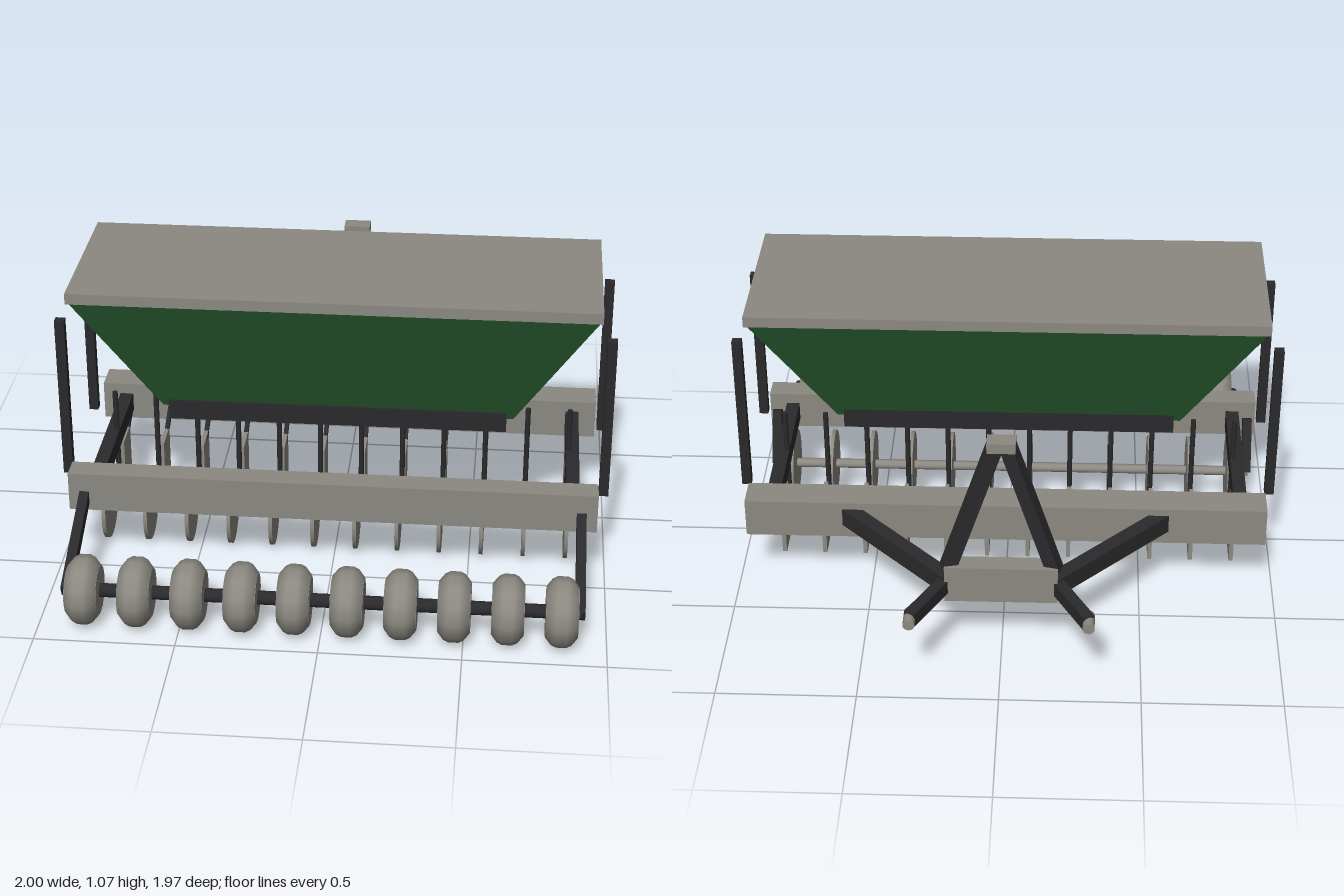
import * as THREE from 'three';

const mat = (name, color) => {
  const m = new THREE.MeshStandardMaterial({ color });
  m.name = name;
  return m;
};

export function createModel() {
  const root = new THREE.Group();
  root.name = 'seedDrill';
  const steel = mat('greySteel', 0x8b8981);
  const dark = mat('darkFrame', 0x2a2a2c);
  const green = mat('greenHopper', 0x2a5c30);

  const add = (name, geo, material, x = 0, y = 0, z = 0) => {
    const m = new THREE.Mesh(geo, material);
    m.name = name;
    m.position.set(x, y, z);
    root.add(m);
    return m;
  };
  const box = (name, material, w, h, d, x, y, z) =>
    add(name, new THREE.BoxGeometry(w, h, d), material, x, y, z);
  // square bar between two points
  const bar = (name, material, a, b, w, h) => {
    const p = new THREE.Vector3(...a), q = new THREE.Vector3(...b);
    const c = p.clone().add(q).multiplyScalar(0.5);
    const m = box(name, material, w, h, p.distanceTo(q), c.x, c.y, c.z);
    m.lookAt(q);
    return m;
  };
  // cylinder lying along x
  const xCyl = (r, len, n) => new THREE.CylinderGeometry(r, r, len, n).rotateZ(Math.PI / 2);

  // hopper: a box tapered towards its bottom
  const hopper = new THREE.BoxGeometry(1.87, 0.5, 0.615);
  const pos = hopper.attributes.position;
  for (let i = 0; i < pos.count; i++) {
    if (pos.getY(i) < 0) {
      pos.setX(i, Math.sign(pos.getX(i)) * 0.645);
      pos.setZ(i, Math.sign(pos.getZ(i)) * 0.103);
    }
  }
  hopper.computeVertexNormals();
  add('hopper', hopper, green, 0, 0.78, 0.113);
  box('hopperLid', steel, 1.885, 0.04, 0.64, 0, 1.05, 0.113);
  box('meteringBox', dark, 1.24, 0.075, 0.245, 0, 0.524, 0.116);

  // main frame
  box('frontBeam', steel, 1.92, 0.148, 0.09, 0, 0.3, 0.44);
  box('rearBeam', steel, 1.92, 0.148, 0.122, 0, 0.3, -0.292);

  for (const s of [-1, 1]) {
    box('sideRail', dark, 0.05, 0.07, 0.73, s * 0.87, 0.298, 0.074);
    box('post', dark, 0.035, 0.62, 0.033, s * 0.981, 0.625, 0.36);
    box('post', dark, 0.035, 0.62, 0.033, s * 0.981, 0.625, -0.138);
    bar('rollerArm', dark, [s * 0.903, 0.293, 0.45], [s * 0.903, 0.118, 0.872], 0.035, 0.045);
    bar('discArm', dark, [s * 0.928, 0.32, 0.365], [s * 0.928, 0.132, 0.268], 0.035, 0.045);
    // hitch members
    bar('drawbarBrace', dark, [s * 0.585, 0.312, -0.33], [s * 0.185, 0.312, -0.74], 0.055, 0.07);
    bar('lowerLink', dark, [s * 0.185, 0.311, -0.72], [s * 0.31, 0.311, -0.95], 0.042, 0.052);
    add('linkPin', new THREE.CylinderGeometry(0.021, 0.021, 0.08, 16).rotateX(Math.PI / 2),
      steel, s * 0.31, 0.311, -0.948);
    bar('mastLeg', dark, [s * 0.19, 0.37, -0.73], [s * 0.022, 0.865, -0.692], 0.055, 0.048);
  }
  box('hitchCrossbar', steel, 0.4, 0.144, 0.072, 0, 0.325, -0.732);
  box('mastHead', steel, 0.1, 0.038, 0.064, 0, 0.872, -0.695);

  // press roller: ten tapered wheels on one axle
  add('rollerAxle', xCyl(0.025, 1.82, 16), dark, 0, 0.125, 0.86);
  const tyre = new THREE.LatheGeometry([
    [0.08, -0.056], [0.09, -0.056], [0.115, -0.036], [0.124, -0.018],
    [0.124, 0.018], [0.115, 0.036], [0.09, 0.056], [0.08, 0.056],
  ].map(([r, y]) => new THREE.Vector2(r, y)), 12).rotateZ(Math.PI / 2);
  const hub = xCyl(0.087, 0.114, 20);
  for (let i = 0; i < 10; i++) {
    const x = -0.84 + i * (1.68 / 9);
    add('rollerTyre', tyre, steel, x, 0.125, 0.86);
    add('rollerHub', hub, steel, x, 0.125, 0.86);
  }

  // twelve seed rows: disc, seed tube and coulter blade
  add('discShaft', xCyl(0.018, 1.87, 12), steel, 0, 0.134, 0.27);
  const disc = xCyl(0.133, 0.014, 28);
  const tube = new THREE.CylinderGeometry(0.01, 0.01, 0.37, 10);
  for (let i = 0; i < 12; i++) {
    const x = -0.855 + i * (1.71 / 11);
    add('openerDisc', disc, steel, x, 0.134, 0.27);
    add('seedTube', tube, dark, x, 0.312, 0.068);
    box('coulterBlade', steel, 0.016, 0.236, 0.134, x, 0.118, -0.079);
    bar('coulterArm', dark, [x, 0.212, -0.105], [x, 0.29, -0.26], 0.016, 0.018);
  }
  return root;
}
